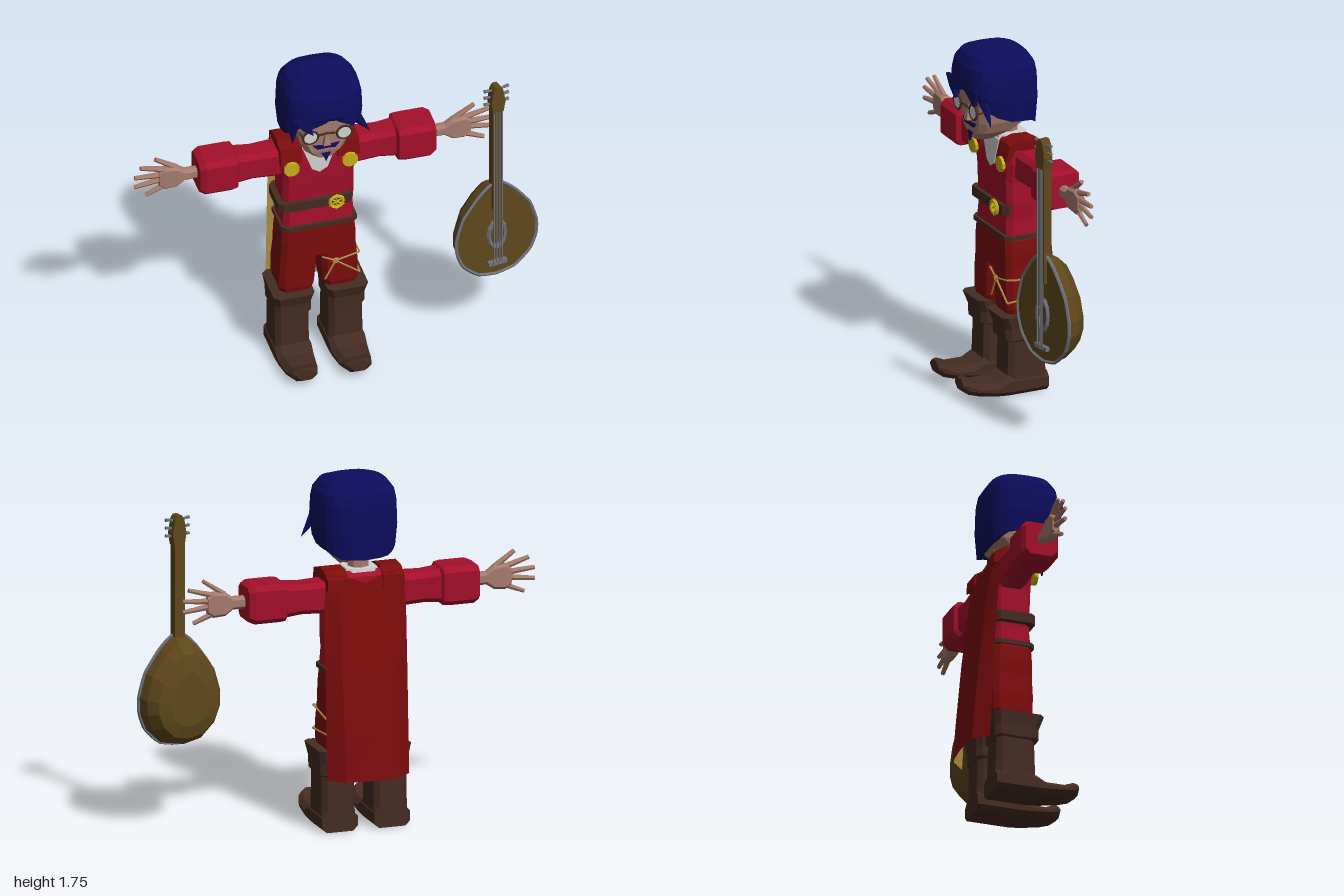
import * as THREE from 'three';

const mat = (name, color) => {
  const m = new THREE.MeshStandardMaterial({ color });
  m.name = name;
  m.flatShading = true;
  return m;
};

export function createModel() {
  const hairBlue = mat('hairBlue', 0x0d0d5e), skin = mat('skin', 0xa57b6c), tunicRed = mat('tunicRed', 0xa31029);
  const darkRed = mat('darkRed', 0x7c0c0c), leather = mat('leather', 0x452c22), gold = mat('gold', 0xc9ae18);
  const lining = mat('liningTan', 0xb08f42), wood = mat('wood', 0x5f471b), metal = mat('metal', 0x70707a);
  const white = mat('white', 0xd2d2d2);

  const model = new THREE.Group();
  model.name = 'musician';
  const body = new THREE.Group();
  body.name = 'figure';
  body.position.x = -0.08;
  model.add(body);

  const add = (parent, name, geo, material, x = 0, y = 0, z = 0) => {
    const m = new THREE.Mesh(geo, material);
    m.name = name;
    m.position.set(x, y, z);
    parent.add(m);
    return m;
  };
  // Skin a list of equal-length rings, closing both ends
  const loft = (rings) => {
    const n = rings[0].length, pos = rings.flat(2), idx = [];
    for (let i = 0; i + 1 < rings.length; i++) for (let j = 0; j < n; j++) {
      const a = i * n + j, b = i * n + (j + 1) % n;
      idx.push(a, b, b + n, a, b + n, a + n);
    }
    const last = (rings.length - 1) * n;
    for (let j = 1; j + 1 < n; j++) idx.push(0, j + 1, j, last, last + j, last + j + 1);
    const g = new THREE.BufferGeometry();
    g.setAttribute('position', new THREE.Float32BufferAttribute(pos, 3));
    g.setIndex(idx);
    g.computeVertexNormals();
    return g;
  };
  // Chamfered rectangle at height y
  const oct = (y, cx, h, z0, z1, c = 0.025) => [[h - c, z1], [h, z1 - c], [h, z0 + c], [h - c, z0],
    [c - h, z0], [-h, z0 + c], [-h, z1 - c], [c - h, z1]].map(([x, z]) => [cx + x, y, z]);
  const block = (rows) => loft(rows.map((r) => oct(...r)));
  const plate = (pts, depth = 0.008) => new THREE.ExtrudeGeometry(
    new THREE.Shape(pts.map((p) => new THREE.Vector2(...p))), { depth, bevelEnabled: false });
  const V = (p) => new THREE.Vector3(...p);
  const rod = (parent, name, a, b, r0, r1, material, sides = 6) => {
    const d = V(b).sub(V(a));
    const m = add(parent, name, new THREE.CylinderGeometry(r1, r0, d.length(), sides), material);
    m.position.copy(V(a).add(V(b)).multiplyScalar(0.5));
    m.quaternion.setFromUnitVectors(new THREE.Vector3(0, 1, 0), d.normalize());
    return m;
  };

  // Torso, hips, belts
  add(body, 'tunic', block([[0.79, 0, 0.183, -0.15, 0.037], [0.9, 0, 0.176, -0.15, 0.03], [0.98, 0, 0.182, -0.15, 0.03],
    [1.1, 0, 0.18, -0.15, 0.035], [1.2, 0, 0.195, -0.15, 0.037], [1.28, 0, 0.19, -0.145, 0.03], [1.305, 0, 0.12, -0.12, 0.01]]), tunicRed);
  add(body, 'hips', block([[0.62, 0, 0.19, -0.165, 0.04], [0.72, 0, 0.188, -0.16, 0.042], [0.81, 0, 0.18, -0.152, 0.038]]), darkRed);
  const belt = add(body, 'belt', block([[0.922, 0, 0.19, -0.16, 0.05], [0.972, 0, 0.19, -0.16, 0.05]]), leather);
  belt.rotation.z = 0.02;
  add(body, 'lowerBelt', block([[0.797, 0, 0.193, -0.165, 0.05], [0.82, 0, 0.193, -0.165, 0.05]]), leather);

  // Buckle
  const buckle = new THREE.Group();
  buckle.name = 'buckle';
  buckle.position.set(0.08, 0.947, 0.06);
  body.add(buckle);
  add(buckle, 'buckleRing', new THREE.TorusGeometry(0.033, 0.009, 5, 14), gold);
  for (let i = 0; i < 3; i++) {
    const a = i * Math.PI / 3 + 0.5, c = Math.cos(a) * 0.043, s = Math.sin(a) * 0.043;
    rod(buckle, 'buckleSpoke', [-c, -s, 0], [c, s, 0], 0.005, 0.005, gold, 4);
  }

  // Collar and neck
  add(body, 'collarFront', plate([[-0.09, 1.3], [-0.04, 1.16], [0, 1.135], [0.04, 1.16], [0.09, 1.3]]), white, 0, 0, 0.034);
  add(body, 'collar', block([[1.25, 0, 0.095, -0.135, 0.035], [1.315, 0, 0.08, -0.125, 0.02]]), white);
  add(body, 'neck', new THREE.CylinderGeometry(0.05, 0.058, 0.18, 8), skin, 0, 1.33, -0.05);

  for (const s of [1, -1]) {
    // Legs and boots
    add(body, 'trouserLeg', block([[0.4, s * 0.112, 0.078, -0.15, 0.03], [0.44, s * 0.112, 0.088, -0.165, 0.04],
      [0.54, s * 0.107, 0.092, -0.165, 0.042], [0.64, s * 0.1, 0.09, -0.16, 0.04]]), darkRed);
    const bx = s * 0.136;
    add(body, 'bootShaft', block([[0.03, bx, 0.09, -0.165, 0.045], [0.12, bx, 0.086, -0.16, 0.045], [0.28, bx, 0.085, -0.155, 0.04],
      [0.29, bx, 0.092, -0.165, 0.06], [0.35, bx, 0.093, -0.165, 0.062], [0.415, bx, 0.104, -0.172, 0.085]]), leather);
    const foot = add(body, 'bootFoot', block([[-0.165, bx, 0.093, -0.1, 0], [0.04, bx, 0.093, -0.105, 0], [0.1, bx, 0.09, -0.075, -0.004],
      [0.2, bx, 0.08, -0.08, -0.018], [0.25, bx, 0.066, -0.105, -0.03], [0.28, bx, 0.045, -0.11, -0.05]]), leather);
    foot.rotation.x = Math.PI / 2;

    // Sleeve, laid along the arm
    const sleeve = add(body, 'sleeve', block([[0.13, 0, 0.085, -0.14, 0], [0.24, 0, 0.078, -0.14, 0], [0.32, 0, 0.076, -0.135, -0.005],
      [0.4, 0, 0.083, -0.14, 0], [0.41, 0, 0.094, -0.16, 0.025], [0.44, 0, 0.097, -0.16, 0.03],
      [0.57, 0, 0.097, -0.16, 0.03], [0.6, 0, 0.085, -0.145, 0.015]]), tunicRed, 0, 1.185);
    sleeve.rotation.z = -s * Math.PI / 2;

    // Hand
    const palm = add(body, 'palm', block([[0.58, 0, 0.03, -0.085, -0.035], [0.66, 0, 0.032, -0.085, -0.035], [0.7, 0, 0.06, -0.085, -0.033],
      [0.76, 0, 0.065, -0.082, -0.035], [0.79, 0, 0.045, -0.078, -0.04]].map((r) => [...r, 0.014])), skin, 0, 1.187);
    palm.rotation.z = -s * Math.PI / 2;
    const digits = [[0.7, 1.235, 0.81, 1.31], [0.75, 1.232, 0.885, 1.27], [0.77, 1.205, 0.915, 1.215], [0.77, 1.18, 0.915, 1.16], [0.74, 1.15, 0.86, 1.1]];
    for (const [x0, y0, x1, y1] of digits)
      rod(body, 'finger', [s * x0, y0, -0.06], [s * x1, y1, -0.055], 0.016, 0.011, skin);

    // Cape over the shoulder, with its clasp
    const strap = add(body, 'capeShoulder', plate([[-0.17, 1.22], [0.0, 1.275], [0.038, 1.21], [0.055, 1.22], [0.035, 1.3],
      [-0.03, 1.32], [-0.11, 1.315], [-0.165, 1.28]], 0.11), darkRed, s * 0.145 + 0.055);
    strap.rotation.y = -Math.PI / 2;
    const clasp = add(body, 'clasp', new THREE.CylinderGeometry(0.04, 0.04, 0.016, 10), gold, s * 0.148, 1.195, 0.06);
    clasp.rotation.x = Math.PI / 2;

    // Glasses
    const lens = add(body, 'lens', new THREE.CylinderGeometry(0.037, 0.037, 0.006, 16), white, s * 0.086, 1.465, 0.177);
    lens.rotation.x = Math.PI / 2;
    add(body, 'glassesRim', new THREE.TorusGeometry(0.038, 0.006, 5, 16), leather, s * 0.086, 1.465, 0.178);
    rod(body, 'glassesBridge', [s * 0.05, 1.47, 0.178], [0, 1.478, 0.182], 0.006, 0.006, leather, 5);
    rod(body, 'glassesTemple', [s * 0.124, 1.468, 0.175], [s * 0.145, 1.47, -0.03], 0.005, 0.005, leather, 4);
    // Moustache half
    const half = [[0, 1.385], [s * 0.03, 1.388], [s * 0.068, 1.392], [s * 0.045, 1.367], [0, 1.37]];
    add(body, 'moustache', plate(half), hairBlue, 0, 0, 0.151);
  }

  // Cape: dark outside, tan inside; rows give height, edge depth, middle depth
  const capeRows = [[1.3, -0.135, -0.155], [1.1, -0.15, -0.185], [0.8, -0.168, -0.225], [0.5, -0.183, -0.255], [0.275, -0.195, -0.275]];
  const capeX = [-1, -0.66, 0, 0.66, 1];
  const capeSide = (dz, inside) => {
    const pos = [], idx = [];
    capeRows.forEach(([y, e, m], i) => capeX.forEach((u, j) => {
      const t = [1, 0.15, 0, 0.15, 1][j];
      pos.push(u * (i ? 0.213 : 0.2), i ? y : y - (j === 2 ? 0.05 : 0), e * t + m * (1 - t) + dz);
      if (i && j) {
        const d = i * 5 + j, c = d - 1, b = d - 5, a = d - 6;
        idx.push(...(inside ? [a, c, d, a, d, b] : [a, d, c, a, b, d]));
      }
    }));
    const g = new THREE.BufferGeometry();
    g.setAttribute('position', new THREE.Float32BufferAttribute(pos, 3));
    g.setIndex(idx);
    g.computeVertexNormals();
    return g;
  };
  add(body, 'capeOutside', capeSide(0, false), darkRed);
  add(body, 'capeLining', capeSide(0.008, true), lining);

  // Head
  add(body, 'head', block([[1.3, 0, 0.055, 0.03, 0.14], [1.345, 0, 0.1, -0.05, 0.15], [1.4, 0, 0.125, -0.12, 0.15],
    [1.48, 0, 0.138, -0.13, 0.155], [1.62, 0, 0.14, -0.12, 0.155]].map((r) => [...r, 0.03])), skin);
  const nose = add(body, 'nose', new THREE.ConeGeometry(0.026, 0.085, 4), skin, 0, 1.44, 0.16);
  nose.rotation.y = Math.PI / 4;
  add(body, 'goatee', plate([[0, 1.283], [0.012, 1.315], [0.024, 1.335], [-0.024, 1.335], [-0.012, 1.315]]), hairBlue, 0, 0, 0.147);

  // Hair cap: hem height varies around the head every 30 degrees
  const hem = [1.565, 1.545, 1.48, 1.425, 1.41, 1.375, 1.365, 1.365];
  const pow = (v) => Math.sign(v) * Math.abs(v) ** 0.68;
  const hairRing = (scale, yOf) => Array.from({ length: 24 }, (_, j) => {
    const a = j * Math.PI / 12, k = Math.min(j, 24 - j) / 2, f = Math.floor(k);
    const h = THREE.MathUtils.lerp(hem[f], hem[f + 1], k - f);
    return [0.205 * scale * pow(Math.sin(a)), yOf(h), 0.02 + 0.19 * scale * pow(Math.cos(a))];
  });
  add(body, 'hair', loft([hairRing(0.6, () => 1.6), hairRing(0.8, (h) => h + 0.01), hairRing(0.95, (h) => h), hairRing(1, (h) => h * 0.4 + 1.6 * 0.6),
    hairRing(0.98, () => 1.64), hairRing(0.93, () => 1.69), hairRing(0.77, () => 1.735), hairRing(0.48, () => 1.755)]), hairBlue);
  // Loose locks
  add(body, 'fringeLock', plate([[-0.17, 1.59], [-0.13, 1.53], [-0.075, 1.49], [-0.085, 1.53], [-0.01, 1.555], [0.02, 1.59]], 0.02), hairBlue, 0, 0, 0.18);
  add(body, 'fringeLock', plate([[0.0, 1.59], [0.06, 1.545], [0.13, 1.51], [0.15, 1.59]], 0.02), hairBlue, 0, 0, 0.178);
  const lockLeft = add(body, 'sideLock', new THREE.ConeGeometry(0.03, 0.13, 5), hairBlue, 0.19, 1.475, 0.15);
  lockLeft.rotation.z = Math.PI + 0.6;
  const lockRight = add(body, 'sideLock', new THREE.ConeGeometry(0.04, 0.15, 5), hairBlue, -0.16, 1.47, 0.12);
  lockRight.rotation.z = Math.PI;

  // Cords on the left thigh
  const knot = [0.078, 0.575, 0.05];
  const cords = [[knot, [0.2, 0.48, 0.048]], [knot, [0.2, 0.6, 0.045]], [knot, [0.01, 0.61, 0.048]], [knot, [0.025, 0.47, 0.048]],
    [[0.2, 0.6, 0.045], [0.205, 0.575, -0.172]], [[0.205, 0.575, -0.172], [0.015, 0.575, -0.172]], [[0.2, 0.48, 0.048], [0.205, 0.5, -0.172]]];
  for (const [a, b] of cords) rod(body, 'cord', a, b, 0.005, 0.005, lining, 5);
  add(body, 'cordKnot', new THREE.TorusGeometry(0.014, 0.005, 4, 8), lining, ...knot);

  // Lute beside the figure
  const lute = new THREE.Group();
  lute.name = 'lute';
  lute.position.set(0.778, 0, 0.178);
  lute.rotation.y = 0.155;
  model.add(lute);
  const right = [[0.1, 0.45], [0.18, 0.525], [0.213, 0.61], [0.215, 0.69], [0.18, 0.81], [0.1, 0.92], [0.035, 0.98]];
  const outline = [[0, 0.43], ...right, ...right.slice().reverse().map(([x, y]) => [-x, y])];
  const bowl = (scale, z) => outline.map(([x, y]) => [x * scale, 0.67 + (y - 0.67) * scale, z]);
  add(lute, 'luteBowl', loft([bowl(0.5, -0.138), bowl(0.78, -0.12), bowl(0.95, -0.065), bowl(1, 0)]), wood);
  const edge = new THREE.CatmullRomCurve3(outline.map(([x, y]) => new THREE.Vector3(x, y, 0)), true, 'catmullrom', 0.2);
  add(lute, 'luteRim', new THREE.TubeGeometry(edge, 48, 0.009, 5, true), metal);
  const rose = add(lute, 'luteRose', new THREE.TorusGeometry(0.045, 0.011, 5, 12), metal, 0, 0.675, 0.006);
  rose.scale.y = 1.75;
  add(lute, 'luteBridge', new THREE.BoxGeometry(0.1, 0.022, 0.024), metal, 0, 0.505, 0.01);
  add(lute, 'luteNeck', new THREE.BoxGeometry(0.054, 0.62, 0.045), wood, 0, 1.15, -0.006);
  add(lute, 'fingerboard', new THREE.BoxGeometry(0.034, 0.72, 0.012), wood, 0, 1.08, 0.015);
  for (const x of [-0.022, -0.008, 0.008, 0.022])
    add(lute, 'string', new THREE.BoxGeometry(0.005, 0.94, 0.005), metal, x, 0.97, 0.023);
  add(lute, 'luteHead', plate([[-0.028, 1.44], [0.028, 1.44], [0.038, 1.5], [0.026, 1.57], [0.012, 1.592], [-0.012, 1.592],
    [-0.026, 1.57], [-0.038, 1.5]], 0.05), wood, 0, 0, -0.025);
  for (const y of [1.485, 1.525, 1.565]) for (const s of [1, -1])
    rod(lute, 'tuningPeg', [s * 0.02, y, 0], [s * 0.066, y + 0.006, 0], 0.006, 0.009, metal, 5);
  return model;
}
